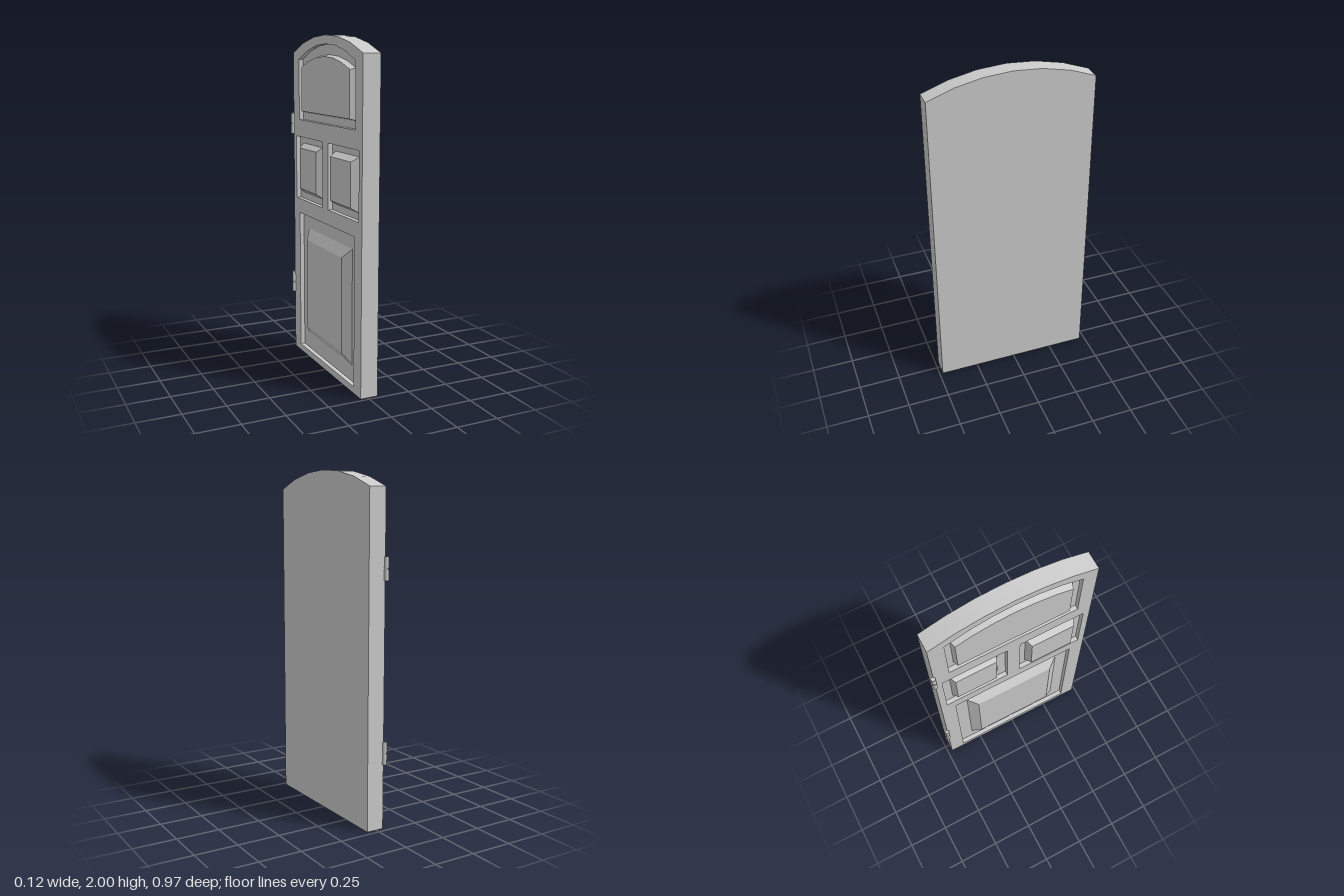
import * as THREE from 'three';
import { toCreasedNormals } from 'three/addons/utils/BufferGeometryUtils.js';

const BACK = -0.06, FLOOR = 0.018, FACE = 0.045; // depths through the slab

// Outline with a flat bottom and a shallow circular arch on top
function outline(Type, u0, u1, v0, side, peak = side, segments = 6) {
  const pts = [[u0, v0], [u1, v0], [u1, side]];
  const half = (u1 - u0) / 2, rise = peak - side;
  if (rise > 0) {
    const r = (half * half + rise * rise) / (2 * rise), a = Math.asin(half / r);
    for (let i = 1; i < segments; i++) {
      const t = a * (1 - 2 * i / segments);
      pts.push([u0 + half + r * Math.sin(t), peak - r + r * Math.cos(t)]);
    }
  }
  pts.push([u0, side]);
  return new Type(pts.map(p => new THREE.Vector2(...p)));
}

function extrude(shape, from, to) {
  const g = new THREE.ExtrudeGeometry(shape, { depth: to - from, bevelEnabled: false });
  return g.translate(0, 0, from);
}

// Panel field: block whose front outline shrinks by an inset on every side
function raisedField([u0, u1, v0, side, peak], top, insetU, insetV) {
  const g = extrude(outline(THREE.Shape, u0, u1, v0, side, peak), FLOOR - 0.002, top);
  const p = g.attributes.position, cu = (u0 + u1) / 2, cv = (v0 + peak) / 2;
  const su = 1 - 2 * insetU / (u1 - u0), sv = 1 - 2 * insetV / (peak - v0);
  for (let i = 0; i < p.count; i++) {
    if (p.getZ(i) < FLOOR) continue;
    p.setXY(i, cu + (p.getX(i) - cu) * su, cv + (p.getY(i) - cv) * sv);
  }
  g.computeVertexNormals();
  return g;
}

export function createModel() {
  const model = new THREE.Group();
  model.name = 'panelDoor';
  const material = new THREE.MeshStandardMaterial({ color: 0xcccccc });

  // Built facing +z, then turned so the panelled face looks to -x
  const door = new THREE.Group();
  door.name = 'door';
  door.rotation.y = -Math.PI / 2;
  model.add(door);
  const add = (name, geometry) => {
    const mesh = new THREE.Mesh(geometry, material);
    mesh.name = name;
    door.add(mesh);
    return mesh;
  };

  // Openings and raised fields: [u0, u1, bottom, side top, peak]
  const panels = [
    { name: 'lowerPanel', hole: [-0.38, 0.39, 0.04, 0.91, 0.91],
      field: [-0.30, 0.315, 0.135, 0.825, 0.825], top: 0.058, inset: [0.06, 0.063] },
    { name: 'middlePanelHingeSide', hole: [-0.43, -0.035, 1.0, 1.39, 1.39],
      field: [-0.38, -0.085, 1.04, 1.35, 1.35], top: 0.053, inset: [0.023, 0.028] },
    { name: 'middlePanelLatchSide', hole: [0.045, 0.44, 1.0, 1.39, 1.39],
      field: [0.09, 0.397, 1.04, 1.35, 1.35], top: 0.063, inset: [0.022, 0.028] },
    { name: 'archedPanel', hole: [-0.38, 0.395, 1.495, 1.86, 1.95],
      field: [-0.34, 0.35, 1.54, 1.82, 1.89], top: 0.052, inset: [0.012, 0.01] },
  ];

  // Slab: solid backing plus a front frame pierced by the openings
  const slab = () => outline(THREE.Shape, -0.47, 0.48, 0, 1.9, 2);
  const frame = slab();
  frame.holes = panels.map(p => outline(THREE.Path, ...p.hole));
  add('backing', toCreasedNormals(extrude(slab(), BACK, FLOOR), 0.4));
  add('frame', toCreasedNormals(extrude(frame, FLOOR, FACE), 0.4));

  for (const p of panels) add(p.name, raisedField(p.field, p.top, ...p.inset));

  // Two hinges, each with a pair of knuckles
  for (const y of [0.44, 1.465]) {
    for (const s of [-1, 1]) {
      const knuckle = add('hingeKnuckle', new THREE.CylinderGeometry(0.013, 0.013, 0.061, 20));
      knuckle.position.set(-0.473, y + s * 0.0345, 0.05);
    }
    const pin = add('hingePin', new THREE.CylinderGeometry(0.009, 0.009, 0.12, 12));
    pin.position.set(-0.473, y, 0.05);
  }
  return model;
}
